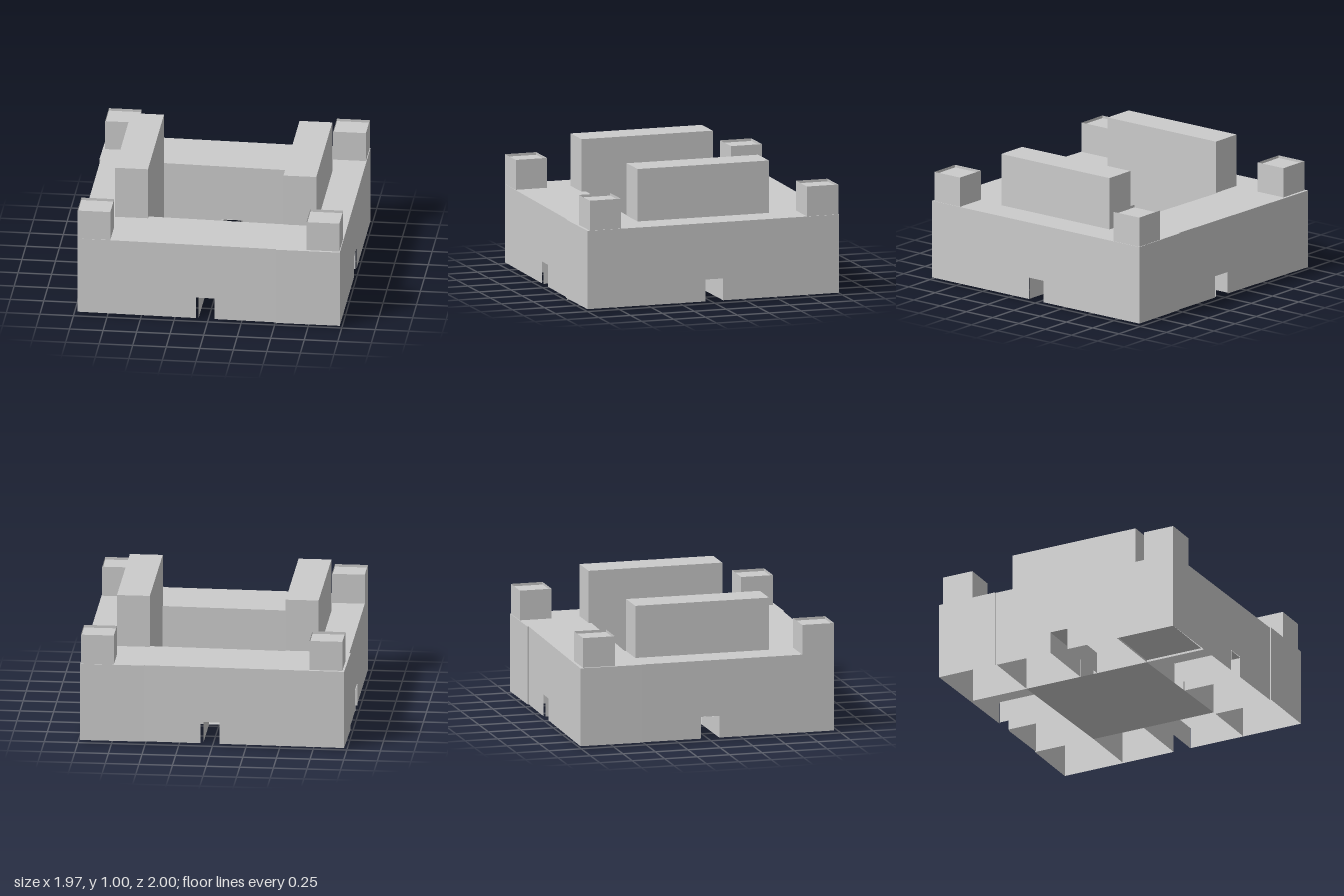
import * as THREE from 'three';

const BASE = 0.015, DECK = 0.605, DOOR_TOP = 0.18, DOOR_HALF = 0.07;

export function createModel() {
  const group = new THREE.Group();
  const material = new THREE.MeshStandardMaterial({ color: 0xcccccc, side: THREE.DoubleSide, flatShading: true });

  const add = (name, geometry, parent = group) => {
    const mesh = new THREE.Mesh(geometry, material);
    mesh.name = name;
    parent.add(mesh);
    return mesh;
  };

  // Thin upright panel between two floor points [x, z], optionally with a doorway at the middle
  const wall = (name, a, b, y0, y1, door = false, parent = group) => {
    const dx = b[0] - a[0], dz = b[1] - a[1], length = Math.hypot(dx, dz);
    const points = [[0, y0]];
    if (door) {
      const middle = -(a[0] * dx + a[1] * dz) / length;
      const l = middle - DOOR_HALF, r = middle + DOOR_HALF;
      points.push([l, y0], [l, DOOR_TOP], [r, DOOR_TOP], [r, y0]);
    }
    points.push([length, y0], [length, y1], [0, y1]);
    const shape = new THREE.Shape(points.map(p => new THREE.Vector2(...p)));
    const mesh = add(name, new THREE.ShapeGeometry(shape), parent);
    mesh.position.set(a[0], 0, a[1]);
    mesh.rotation.y = -Math.atan2(dz, dx);
  };

  // Flat horizontal panel from an outline of [x, z] points
  const slab = (name, outline, y, hole, parent = group) => {
    const shape = new THREE.Shape(outline.map(p => new THREE.Vector2(...p)));
    if (hole) shape.holes.push(new THREE.Path(hole.map(p => new THREE.Vector2(...p))));
    add(name, new THREE.ShapeGeometry(shape).rotateX(Math.PI / 2), parent).position.y = y;
  };
  const rect = (x0, x1, z0, z1) => [[x0, z0], [x1, z0], [x1, z1], [x0, z1]];

  // Slightly uneven outer wall and courtyard outlines
  const outer = [[-0.98, -1], [0.51, -0.97], [0.51, -0.98], [0.985, -0.98], [0.985, 0.995],
    [0.51, 0.995], [0.51, 0.985], [-0.975, 0.955], [-0.975, -0.53], [-0.985, -0.53]];
  const court = [[-0.5, -0.52], [0.51, -0.49], [0.51, 0.515], [-0.5, 0.485]];
  const outerDoors = [0, 3, 6, 7];

  outer.forEach((p, i) => wall('outerWall', p, outer[(i + 1) % outer.length], BASE, DECK, outerDoors.includes(i)));
  court.forEach((p, i) => wall('courtyardWall', p, court[(i + 1) % 4], BASE, DECK, true));
  slab('wallTop', outer, DECK, court);
  slab('courtyardFloor', court, BASE);
  slab('cornerPlate', rect(-0.975, -0.53, 0.5, 0.955), BASE);

  // Tunnels from the four doorways to the courtyard
  for (const s of [-1, 1]) {
    const d = DOOR_HALF;
    for (const t of [-d, d]) {
      wall('tunnelSide', [t, s * 0.5], [t, s * 0.97], BASE, DOOR_TOP);
      wall('tunnelSide', [s * 0.505, t], [s * 0.98, t], BASE, DOOR_TOP);
    }
    slab('tunnelCeiling', rect(-d, d, Math.min(s * 0.5, s * 0.97), Math.max(s * 0.5, s * 0.97)), DOOR_TOP);
    slab('tunnelCeiling', rect(Math.min(s * 0.505, s * 0.98), Math.max(s * 0.505, s * 0.98), -d, d), DOOR_TOP);
  }

  // Partitions dividing the hollow wall into corner and side blocks
  court.forEach(([x, z]) => {
    const sx = Math.sign(x), sz = Math.sign(z);
    wall('partition', [x, z], [sx * 0.975, z], BASE, DECK);
    wall('partition', [x, z], [x, sz * (sz < 0 ? 0.97 : x < 0 ? 0.96 : 0.99)], x > 0 && z > 0 ? 0 : BASE, DECK);
  });

  // Long raised blocks beside the courtyard
  for (const [name, x] of [['rightLongTower', -0.6225], ['leftLongTower', 0.6325]]) {
    add(name, new THREE.BoxGeometry(0.245, 1 - DECK, 1.03)).position.set(x, (1 + DECK) / 2, 0.005);
  }

  // Corner turrets with a thin rim around a sunken top
  const turrets = [[-0.965, -0.975], [0.735, -0.975], [-0.975, 0.71], [0.735, 0.73]];
  for (const [x, z] of turrets) {
    const turret = new THREE.Group();
    turret.name = 'cornerTurret';
    group.add(turret);
    const corners = rect(x, x + 0.245, z, z + 0.245);
    corners.forEach((p, i) => wall('turretSide', p, corners[(i + 1) % 4], DECK, 0.83, false, turret));
    slab('turretTop', corners, 0.81, null, turret);
  }

  return group;
}
